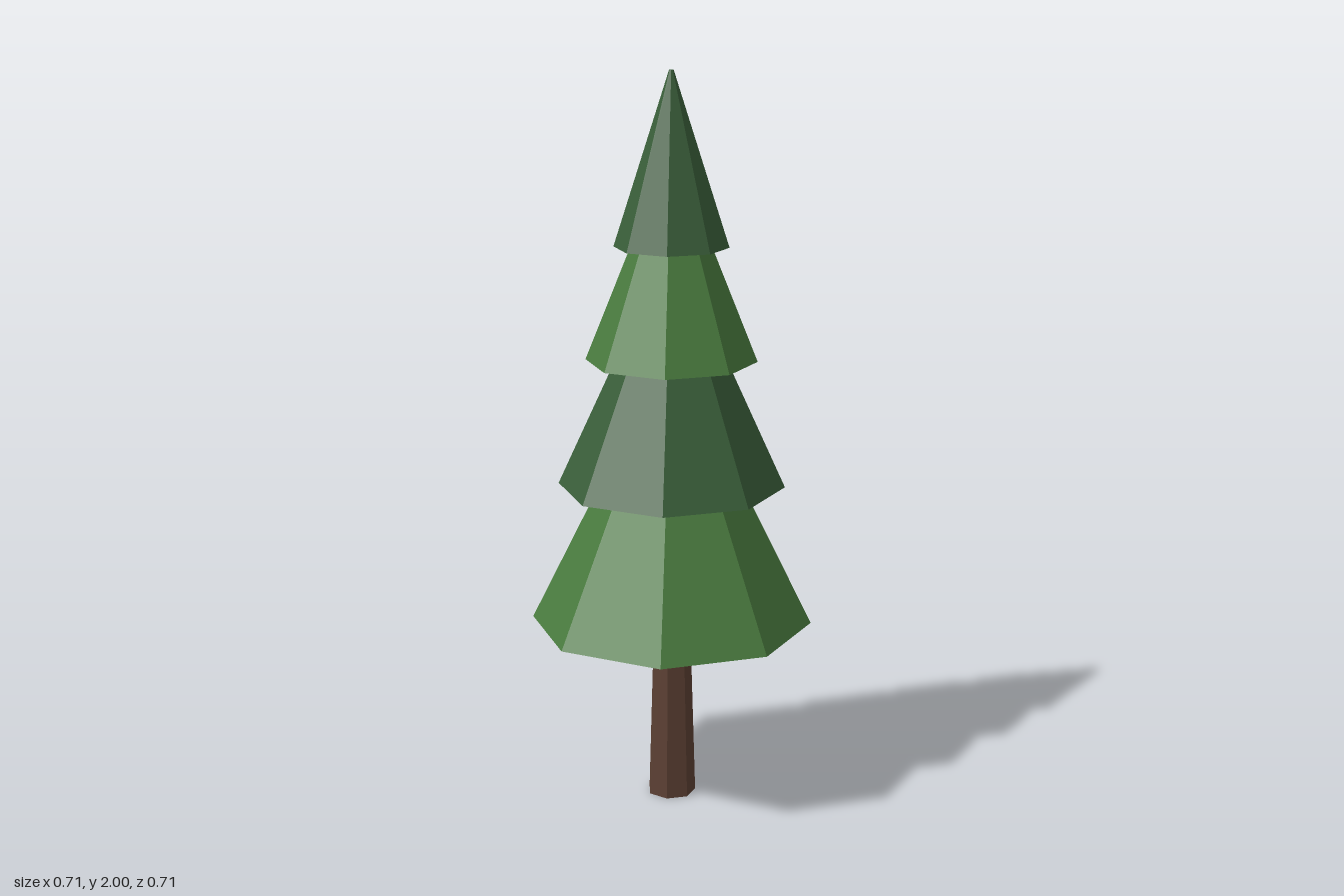
import * as THREE from 'three';

const flat = (name, color) => {
  const material = new THREE.MeshStandardMaterial({ color, flatShading: true });
  material.name = name;
  return material;
};

export function createModel() {
  const tree = new THREE.Group();
  tree.name = 'pineTree';

  const lightGreen = flat('light green', 0x4a7c3f);
  const darkGreen = flat('dark green', 0x3a5f3a);
  const bark = flat('bark brown', 0x5c4033);

  // Closed tapering prism standing on y = base
  const taper = (name, material, topRadius, bottomRadius, base, height, sides) => {
    const geometry = new THREE.CylinderGeometry(topRadius, bottomRadius, height, sides);
    geometry.rotateY(Math.PI / 8);
    geometry.translate(0, base + height / 2, 0);
    const mesh = new THREE.Mesh(geometry, material);
    mesh.name = name;
    tree.add(mesh);
  };

  // Seven-sided trunk, running a little way into the lowest tier
  taper('trunk', bark, 0.05, 0.067, 0, 0.56, 7);

  // Overlapping eight-sided foliage tiers: radius, base, height
  const tiers = [
    [0.383, 0.505, 0.765],
    [0.307, 0.89, 0.66],
    [0.23, 1.235, 0.56],
    [0.153, 1.54, 0.46],
  ];
  tiers.forEach(([radius, base, height], i) => {
    taper(`foliageTier${i + 1}`, i % 2 ? darkGreen : lightGreen, 0.006, radius, base, height, 8);
  });

  return tree;
}
